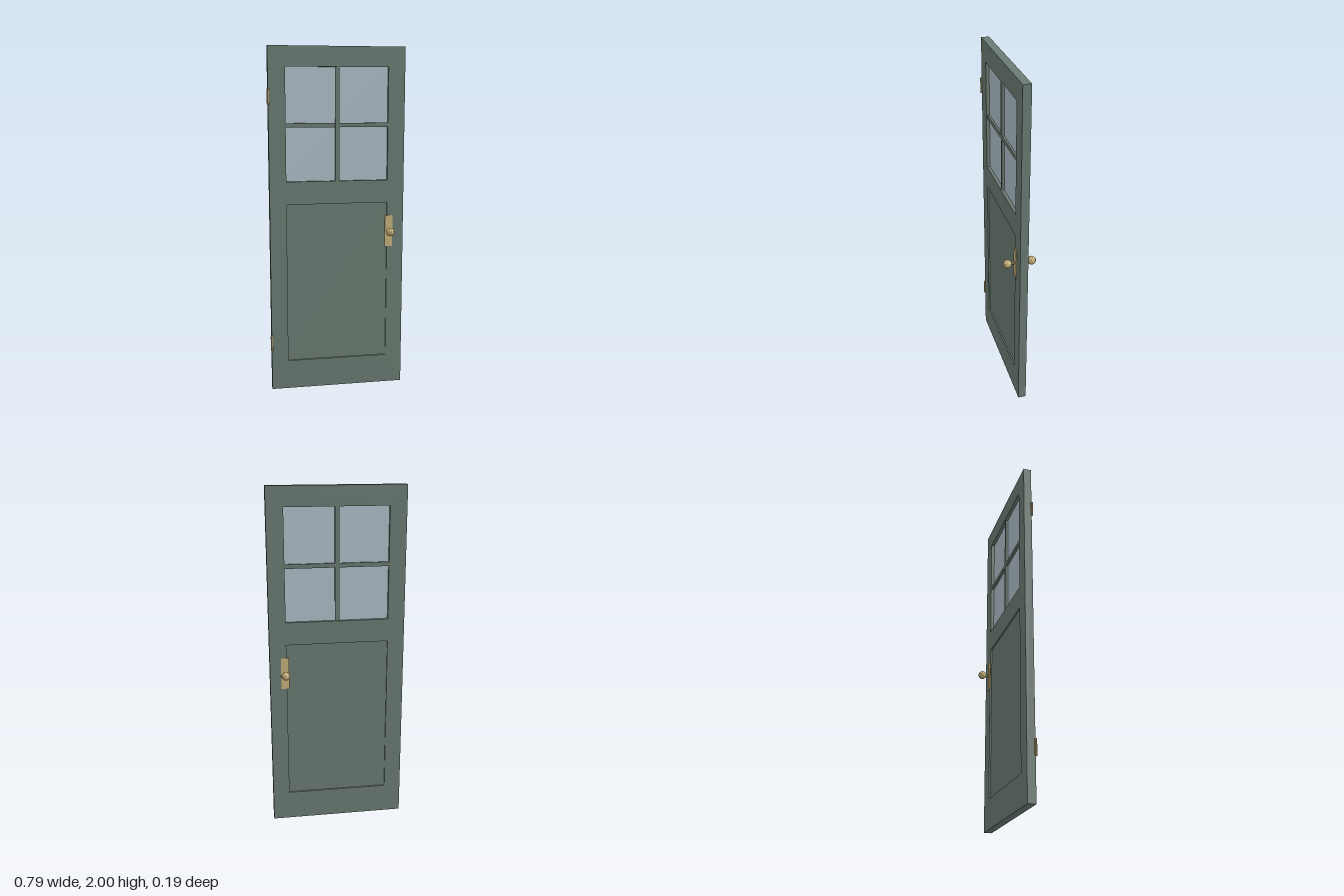
import * as THREE from 'three';

export function createModel() {
  const door = new THREE.Group();
  door.name = 'door';
  const material = (name, color, flatShading = false) =>
    Object.assign(new THREE.MeshStandardMaterial({ color, flatShading }), { name });
  const paint = material('green paint', 0x6b7c73);
  const brass = material('brass', 0xc6b07a, true);
  const glass = material('pale glass', 0xafbfc8);

  const add = (name, geometry, mat, x, y, z) => {
    const mesh = new THREE.Mesh(geometry, mat);
    mesh.name = name;
    mesh.position.set(x, y, z);
    door.add(mesh);
    return mesh;
  };
  const box = (name, mat, w, h, d, x, y, z = 0) =>
    add(name, new THREE.BoxGeometry(w, h, d), mat, x, y, z);

  const CX = 0.003, W = 0.786, DEPTH = 0.046, FACE = DEPTH / 2;
  const OPEN = 0.592; // width of both openings
  const panel = { bottom: 0.172, top: 1.11 };
  const pane = { bottom: 1.242, top: 1.886 };

  // Frame with an opening for the window and one for the panel
  const rect = (path, x0, x1, y0, y1) => {
    path.moveTo(x0, y0);
    path.lineTo(x1, y0);
    path.lineTo(x1, y1);
    path.lineTo(x0, y1);
    path.closePath();
    return path;
  };
  const outline = rect(new THREE.Shape(), -W / 2, W / 2, 0, 2);
  for (const o of [panel, pane]) {
    outline.holes.push(rect(new THREE.Path(), -OPEN / 2, OPEN / 2, o.bottom, o.top));
  }
  add('frame', new THREE.ExtrudeGeometry(outline, { depth: DEPTH, bevelEnabled: false }),
    paint, CX, 0, -FACE);

  // Recessed lower panel
  box('lowerPanel', paint, OPEN, panel.top - panel.bottom, 0.028, CX, (panel.top + panel.bottom) / 2);

  // Window with crossed glazing bars
  const paneH = pane.top - pane.bottom, paneY = (pane.top + pane.bottom) / 2;
  box('windowGlass', glass, OPEN, paneH, 0.008, CX, paneY);
  box('verticalBar', paint, 0.024, paneH, 0.034, CX, paneY);
  box('horizontalBar', paint, OPEN, 0.024, 0.032, CX, paneY - 0.003);

  // Plate, stem and faceted knob on each face
  const KX = 0.309, KY = 0.94;
  for (const [side, s] of [['front', 1], ['back', -1]]) {
    box(side + 'Plate', brass, 0.046, 0.186, 0.004, KX, KY, s * (FACE + 0.002));
    add(side + 'Stem', new THREE.CylinderGeometry(0.007, 0.007, 0.04, 8), brass, KX, KY, s * 0.04)
      .rotation.x = Math.PI / 2;
    add(side + 'Knob', new THREE.IcosahedronGeometry(0.025, 1), brass, KX, KY, s * 0.07);
  }

  // Hinge barrels on the front right edge
  for (const [name, y] of [['upperHinge', 1.72], ['lowerHinge', 0.285]]) {
    add(name, new THREE.CylinderGeometry(0.007, 0.007, 0.09, 8), brass, -0.39, y, 0.025);
  }
  return door;
}
